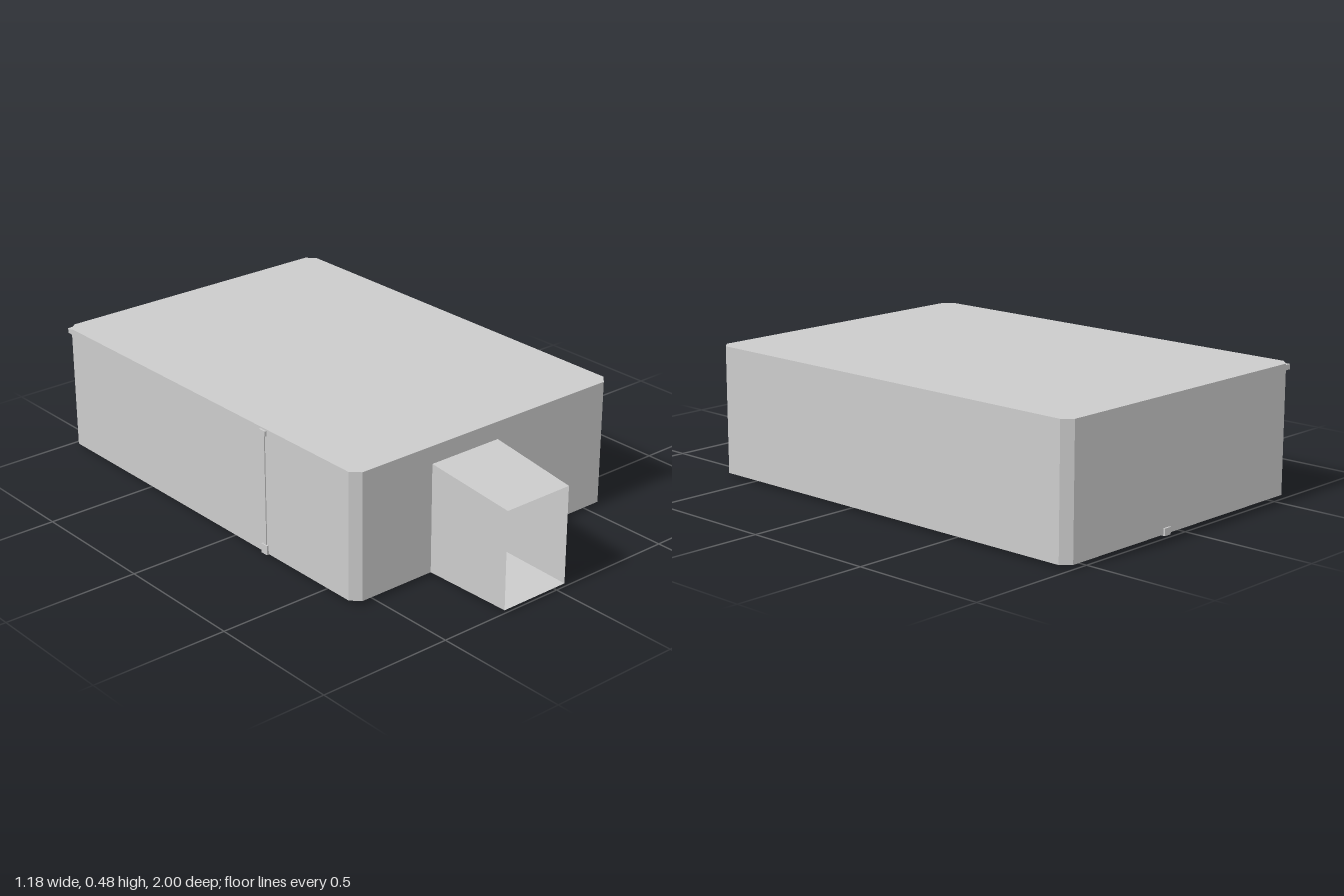
import * as THREE from 'three';
import { mergeGeometries } from 'three/addons/utils/BufferGeometryUtils.js';

const mat = new THREE.MeshStandardMaterial({ color: 0xcccccc, side: THREE.DoubleSide, flatShading: true });

// Flat four-cornered panel, corners counter-clockwise from its outside
function quad(a, b, c, d) {
  const g = new THREE.BufferGeometry();
  g.setAttribute('position', new THREE.Float32BufferAttribute([...a, ...b, ...c, ...a, ...c, ...d], 3));
  g.computeVertexNormals();
  return g;
}

function part(name, geometry) {
  const mesh = new THREE.Mesh(geometry, mat);
  mesh.name = name;
  return mesh;
}

// Square bar spanning two opposite corners
function bar(name, min, max) {
  const g = new THREE.BoxGeometry(...max.map((v, i) => v - min[i]));
  g.translate(...max.map((v, i) => (v + min[i]) / 2));
  return part(name, g);
}

export function createModel() {
  const model = new THREE.Group();
  model.name = 'room';
  const L = -0.583, R = 0.588, F = 0.655, B = -0.993, Y0 = 0.012, Y1 = 0.48, c = 0.032;

  // Plan outline with chamfered corners; the first edge is the front wall
  const plan = [[L + c, F], [R - c, F], [R, F - c], [R, B + c], [R - c, B], [L + c, B], [L, B + c], [L, F - c]];

  // Side, back and corner walls
  const walls = [];
  for (let i = 1; i < plan.length; i++) {
    const [x1, z1] = plan[i], [x2, z2] = plan[(i + 1) % plan.length];
    walls.push(quad([x1, Y0, z1], [x2, Y0, z2], [x2, Y1, z2], [x1, Y1, z1]));
  }
  model.add(part('walls', mergeGeometries(walls)));

  // Front wall with a doorway notch
  const door = { l: -0.25, r: 0.046, t: 0.415 };
  const front = new THREE.Shape([
    [L + c, Y0], [door.l, Y0], [door.l, door.t], [door.r, door.t],
    [door.r, Y0], [R - c, Y0], [R - c, Y1], [L + c, Y1],
  ].map(p => new THREE.Vector2(...p)));
  model.add(part('frontWall', new THREE.ShapeGeometry(front).translate(0, 0, F)));

  // Roof and floor slabs
  const outline = new THREE.Shape(plan.map(([x, z]) => new THREE.Vector2(x, -z)));
  model.add(part('roof', new THREE.ShapeGeometry(outline).rotateX(-Math.PI / 2).translate(0, Y1, 0)));
  const mirrored = new THREE.Shape(plan.map(([x, z]) => new THREE.Vector2(x, z)));
  model.add(part('floor', new THREE.ShapeGeometry(mirrored).rotateX(Math.PI / 2).translate(0, Y0, 0)));

  // Tapered entrance passage, open at its outer end
  const ring = (l, r, t, z) => [[l, Y0, z], [r, Y0, z], [r, t, z], [l, t, z]];
  const inner = ring(door.l, door.r, door.t, F);
  const outer = ring(-0.24, 0.036, 0.373, 1);
  model.add(part('entrancePassage', mergeGeometries(inner.map((p, i) => {
    const j = (i + 1) % 4;
    return quad(p, inner[j], outer[j], outer[i]);
  }))));

  // Thin conduits running over the floor and up the wall
  model.add(
    bar('floorConduitAcross', [L, 0.013, 0.186], [0.1, 0.022, 0.204]),
    bar('floorConduitLong', [0.085, 0.013, -0.54], [0.1, 0.022, 0.204]),
    bar('underfloorConduit', [0.088, 0.009, -0.993], [0.096, 0.016, -0.54]),
    bar('innerUpright', [-0.24, 0.013, 0.186], [-0.222, 0.46, 0.204]),
    bar('wallUpright', [-0.587, 0.02, 0.18], [-0.575, 0.46, 0.194]),
  );

  // Small joints where conduits meet the shell
  for (const z of [0.195, -0.305]) {
    model.add(bar('floorJoint', [0.077, 0.008, z - 0.015], [0.107, 0.026, z + 0.015]));
  }
  model.add(
    bar('floorJoint', [0.077, 0, -0.556], [0.107, 0.026, -0.526]),
    bar('innerJoint', [-0.25, 0.008, 0.18], [-0.215, 0.045, 0.21]),
    bar('wallJointLow', [-0.591, 0.01, 0.172], [-0.57, 0.045, 0.202]),
    bar('wallJointHigh', [-0.59, 0.455, 0.172], [-0.57, 0.474, 0.202]),
    bar('backJoint', [0.077, 0.008, -1], [0.107, 0.034, -0.98]),
    bar('cornerJoint', [-0.58, 0.455, -0.99], [-0.555, 0.474, -0.965]),
  );
  return model;
}
